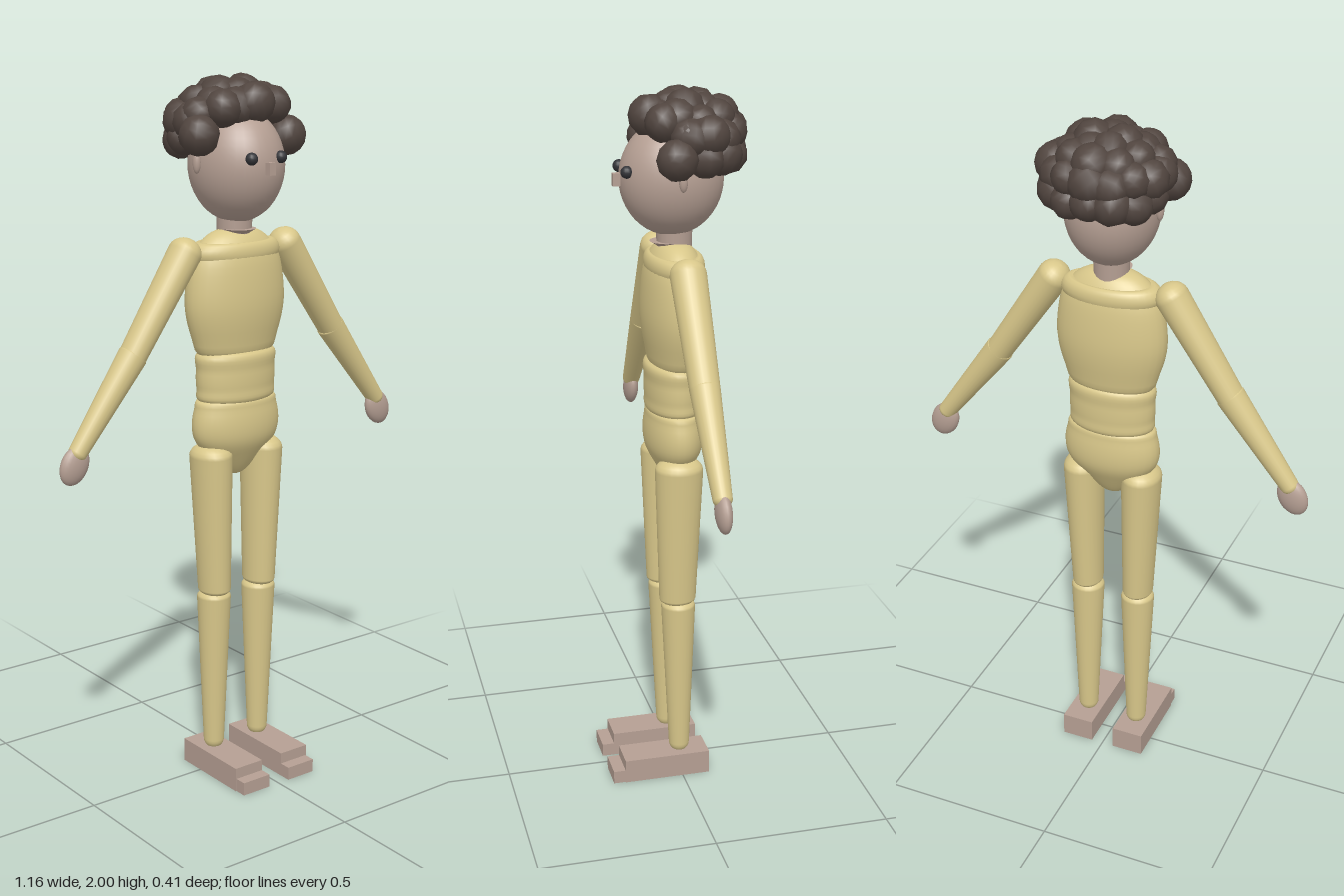
import * as THREE from 'three';

const mat = (color) => new THREE.MeshStandardMaterial({ color, roughness: 0.8 });

export function createModel() {
  const root = new THREE.Group();
  root.name = 'jointedFigure';
  const cloth = mat(0xd8c78a), skin = mat(0xb59f93), hairMat = mat(0x51453f), dark = mat(0x333438);

  const add = (name, geo, material, x = 0, y = 0, z = 0, parent = root) => {
    const m = new THREE.Mesh(geo, material);
    m.name = name;
    m.position.set(x, y, z);
    parent.add(m);
    return m;
  };

  // Turned body section: profile of [radius, height], flattened in depth
  const turned = (name, profile, depth, z) => {
    const pts = new THREE.SplineCurve(profile.map(p => new THREE.Vector2(...p))).getPoints(28);
    pts.forEach(p => { p.x = Math.max(p.x, 0); });
    const m = add(name, new THREE.LatheGeometry(pts, 32), cloth, 0, 0, z);
    m.scale.z = depth;
    return m;
  };

  // Tapered limb with domed ends, running from a to b
  const limb = (name, a, b, ra, rb, capA, capB, depth = 1) => {
    const A = new THREE.Vector3(...a), B = new THREE.Vector3(...b);
    const len = A.distanceTo(B), pts = [], n = 6;
    for (let i = 0; i <= n; i++) {
      const t = (i / n) * Math.PI / 2;
      pts.push(new THREE.Vector2(rb * Math.sin(t), -capB * Math.cos(t)));
    }
    for (let i = 0; i <= n; i++) {
      const t = (i / n) * Math.PI / 2;
      pts.push(new THREE.Vector2(ra * Math.cos(t), len + capA * Math.sin(t)));
    }
    const m = add(name, new THREE.LatheGeometry(pts, 24), cloth, ...b);
    m.quaternion.setFromUnitVectors(new THREE.Vector3(0, 1, 0), A.sub(B).normalize());
    m.scale.z = depth;
    return m;
  };

  // Torso
  turned('chest', [[0, 1.235], [0.11, 1.24], [0.138, 1.29], [0.158, 1.37], [0.155, 1.45],
    [0.138, 1.52], [0.1, 1.565], [0.055, 1.587], [0, 1.59]], 0.56, -0.003);
  turned('waist', [[0, 1.105], [0.112, 1.11], [0.124, 1.15], [0.125, 1.2], [0.117, 1.25], [0, 1.26]], 0.62, 0);
  turned('hips', [[0, 0.887], [0.035, 0.9], [0.09, 0.95], [0.13, 0.995], [0.141, 1.04],
    [0.133, 1.09], [0.115, 1.118], [0, 1.125]], 0.57, 0);
  const collar = add('collarRing', new THREE.TorusGeometry(0.115, 0.03, 14, 40), cloth, 0, 1.527, -0.004);
  collar.rotation.x = Math.PI / 2;
  collar.scale.y = 0.55;

  // Neck
  add('neck', new THREE.CylinderGeometry(0.05, 0.048, 0.09, 20), skin, 0, 1.605, -0.005);
  add('neckBase', new THREE.ConeGeometry(0.048, 0.03, 20).rotateX(Math.PI), skin, 0, 1.575, 0.015);

  // Arms, legs and feet
  for (const [side, s] of [['left', 1], ['right', -1]]) {
    limb(side + 'UpperArm', [s * 0.172, 1.535, 0], [s * 0.345, 1.275, 0], 0.046, 0.038, 0.042, 0.015, 1.08);
    limb(side + 'Forearm', [s * 0.345, 1.275, 0], [s * 0.525, 1.035, 0], 0.041, 0.026, 0.012, 0.02);
    const hand = add(side + 'Hand', new THREE.SphereGeometry(1, 20, 14), skin, s * 0.535, 1.003, 0);
    hand.scale.set(0.042, 0.056, 0.022);
    hand.rotation.z = s * 0.45;

    limb(side + 'Thigh', [s * 0.089, 0.955, 0.003], [s * 0.08, 0.56, 0.005], 0.057, 0.044, 0.038, 0.02, 1.2);
    limb(side + 'Shin', [s * 0.08, 0.535, 0.003], [s * 0.08, 0.09, 0], 0.049, 0.03, 0.024, 0.03);
    add(side + 'Foot', new THREE.BoxGeometry(0.095, 0.07, 0.253), skin, s * 0.0825, 0.035, 0.0465);
    add(side + 'Toe', new THREE.BoxGeometry(0.092, 0.038, 0.04), skin, s * 0.081, 0.019, 0.188);
  }

  // Head and face
  const head = new THREE.Group();
  head.name = 'head';
  root.add(head);
  add('skull', new THREE.SphereGeometry(1, 36, 24), skin, 0, 1.763, 0.003, head).scale.set(0.127, 0.157, 0.143);
  add('nose', new THREE.BoxGeometry(0.02, 0.034, 0.04), skin, 0, 1.763, 0.145, head);
  for (const s of [1, -1]) {
    add('eye', new THREE.SphereGeometry(0.017, 14, 10), dark, s * 0.049, 1.79, 0.136, head);
    add('ear', new THREE.SphereGeometry(1, 14, 10), skin, s * 0.132, 1.775, 0.003, head).scale.set(0.011, 0.03, 0.012);
  }

  // Curls: rings over the crown and back, then a loose fringe
  const hair = new THREE.Group();
  hair.name = 'curlyHair';
  root.add(hair);
  const curlGeo = new THREE.SphereGeometry(1, 10, 8);
  let k = 0;
  const curl = (x, y, z, r) => {
    const c = add('curl', curlGeo, hairMat, x, y, z, hair);
    c.scale.setScalar(r);
    c.rotation.set(k * 0.9, k * 1.7, k * 0.5);
    k++;
  };
  // [height, x radius, z radius, count, start angle, end angle], angle 0 faces front
  const rings = [
    [1.832, 0.13, 0.115, 7, 1.75, 4.53],
    [1.885, 0.132, 0.112, 9, 1.4, 4.88],
    [1.922, 0.09, 0.088, 9, 0.35, 5.93],
    [1.943, 0.042, 0.045, 5, 0, 5.03],
  ];
  for (const [y, rx, rz, n, a0, a1] of rings)
    for (let i = 0; i < n; i++) {
      const a = a0 + (a1 - a0) * i / (n - 1);
      curl(rx * Math.sin(a), y + 0.006 * Math.sin(i * 2.3), -0.037 + rz * Math.cos(a), 0.053 + 0.004 * Math.sin(i * 1.9));
    }
  [[0.012, 1.93, 0.065, 0.058], [0.09, 1.922, 0.045, 0.052], [-0.08, 1.918, 0.05, 0.052],
    [0.155, 1.835, 0.025, 0.056], [-0.147, 1.85, 0.035, 0.056], [0.128, 1.89, -0.01, 0.048],
    [-0.125, 1.9, 0.005, 0.05]].forEach(c => curl(...c));

  return root;
}
